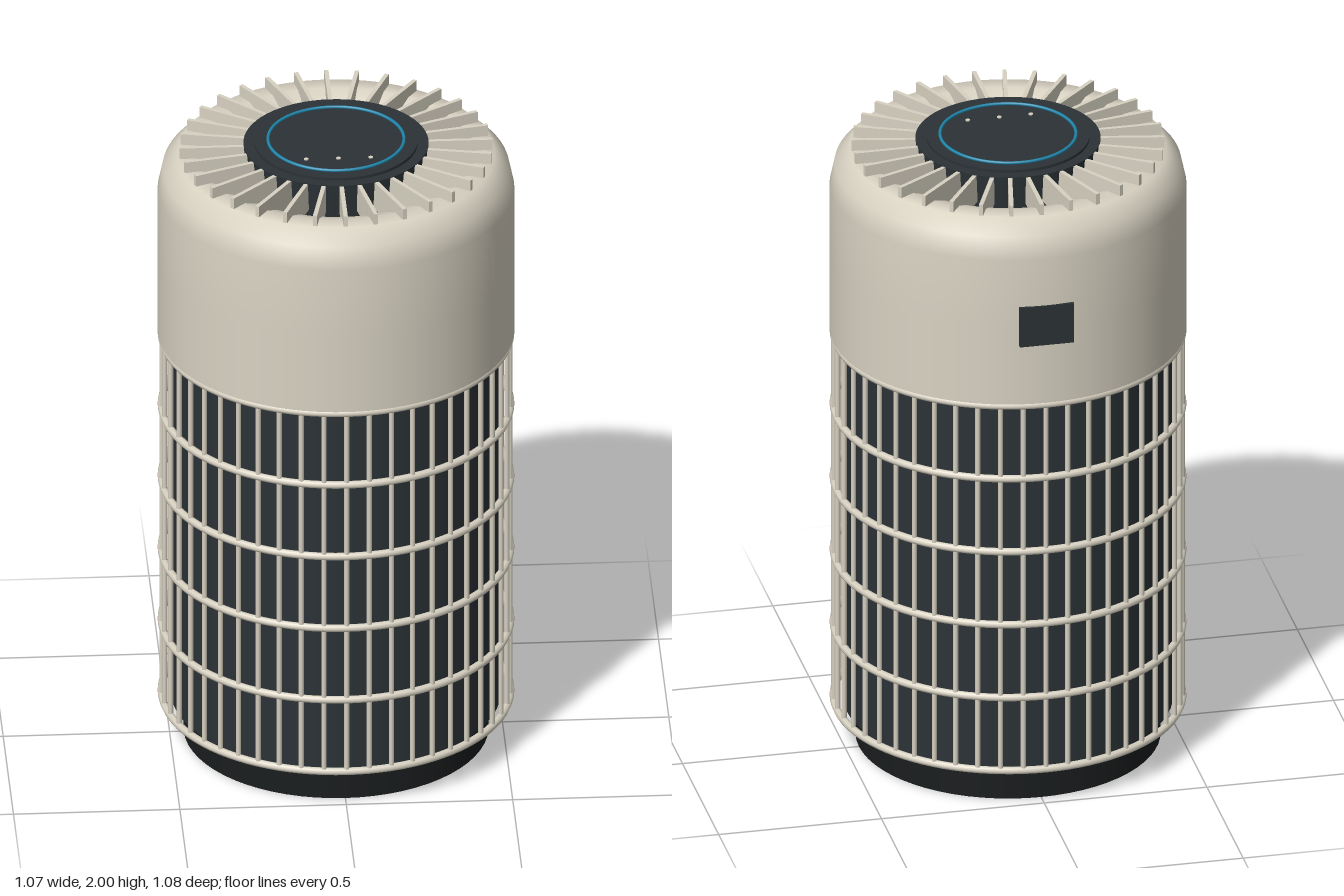
import * as THREE from 'three';

const material = (color, side = THREE.FrontSide) =>
  new THREE.MeshStandardMaterial({ color, side });

export function createModel() {
  const model = new THREE.Group();
  model.name = 'airPurifier';
  const cream = material(0xd8d2c2);
  const creamOpen = material(0xd8d2c2, THREE.DoubleSide);
  const dark = material(0x2b3236);
  const black = material(0x1a1d1e);
  const blue = material(0x1f86ab);

  const add = (name, geometry, mat, parent = model) => {
    const mesh = new THREE.Mesh(geometry, mat);
    mesh.name = name;
    parent.add(mesh);
    return mesh;
  };
  const disc = (name, r, y0, y1, mat, rBottom = r) => {
    const mesh = add(name, new THREE.CylinderGeometry(r, rBottom, y1 - y0, 64), mat);
    mesh.position.y = (y0 + y1) / 2;
    return mesh;
  };
  const group = (name) => {
    const g = new THREE.Group();
    g.name = name;
    model.add(g);
    return g;
  };

  // Base plinth and inner filter drum
  disc('base', 0.458, 0, 0.08, black);
  disc('filter', 0.495, 0.12, 1.36, dark);

  // Cage: vertical bars and horizontal hoops
  const cage = group('cage');
  const barGeometry = new THREE.CylinderGeometry(0.008, 0.008, 1.22, 8);
  for (let i = 0; i < 48; i++) {
    const a = (i / 48) * Math.PI * 2;
    const bar = add('cageBar', barGeometry, cream, cage);
    bar.position.set(Math.sin(a) * 0.523, 0.735, Math.cos(a) * 0.523);
  }
  const hoopGeometry = new THREE.TorusGeometry(0.523, 0.012, 8, 96);
  for (let i = 0; i < 6; i++) {
    const hoop = add('cageHoop', hoopGeometry, cream, cage);
    hoop.rotation.x = Math.PI / 2;
    hoop.position.y = 0.125 + i * 0.243;
  }

  // Upper shell with rounded shoulder and dished outlet
  const profile = [
    [0.535, 1.35], [0.535, 1.6], [0.535, 1.83], [0.52, 1.9], [0.475, 1.945],
    [0.42, 1.945], [0.36, 1.92], [0.3, 1.88], [0.24, 1.86],
  ].map(([r, y]) => new THREE.Vector2(r, y));
  add('upperShell', new THREE.LatheGeometry(profile, 96), creamOpen);
  const lip = add('shellUnderside', new THREE.RingGeometry(0.48, 0.535, 96), creamOpen);
  lip.rotation.x = Math.PI / 2;
  lip.position.y = 1.35;

  // Radial outlet fins
  const fins = group('outletFins');
  const finGeometry = new THREE.BoxGeometry(0.013, 0.09, 0.22).translate(0, 1.935, 0.36);
  for (let i = 0; i < 32; i++) {
    add('fin', finGeometry, cream, fins).rotation.y = (i / 32) * Math.PI * 2;
  }

  // Control hub, raised panel, light ring and indicators
  disc('hub', 0.278, 1.85, 1.982, dark, 0.265);
  disc('controlPanel', 0.245, 1.98, 1.991, dark);
  const ring = add('lightRing', new THREE.TorusGeometry(0.204, 0.005, 8, 96), blue);
  ring.rotation.x = Math.PI / 2;
  ring.position.y = 1.995;
  for (const x of [-0.097, 0, 0.097]) {
    const dot = disc('indicator', 0.007, 1.985, 1.994, cream);
    dot.position.x = x;
    dot.position.z = 0.12;
  }

  // Rear sensor cover
  const cover = add('rearCover', new THREE.BoxGeometry(0.166, 0.13, 0.03), dark);
  cover.position.set(0, 1.61, -0.525);

  return model;
}
